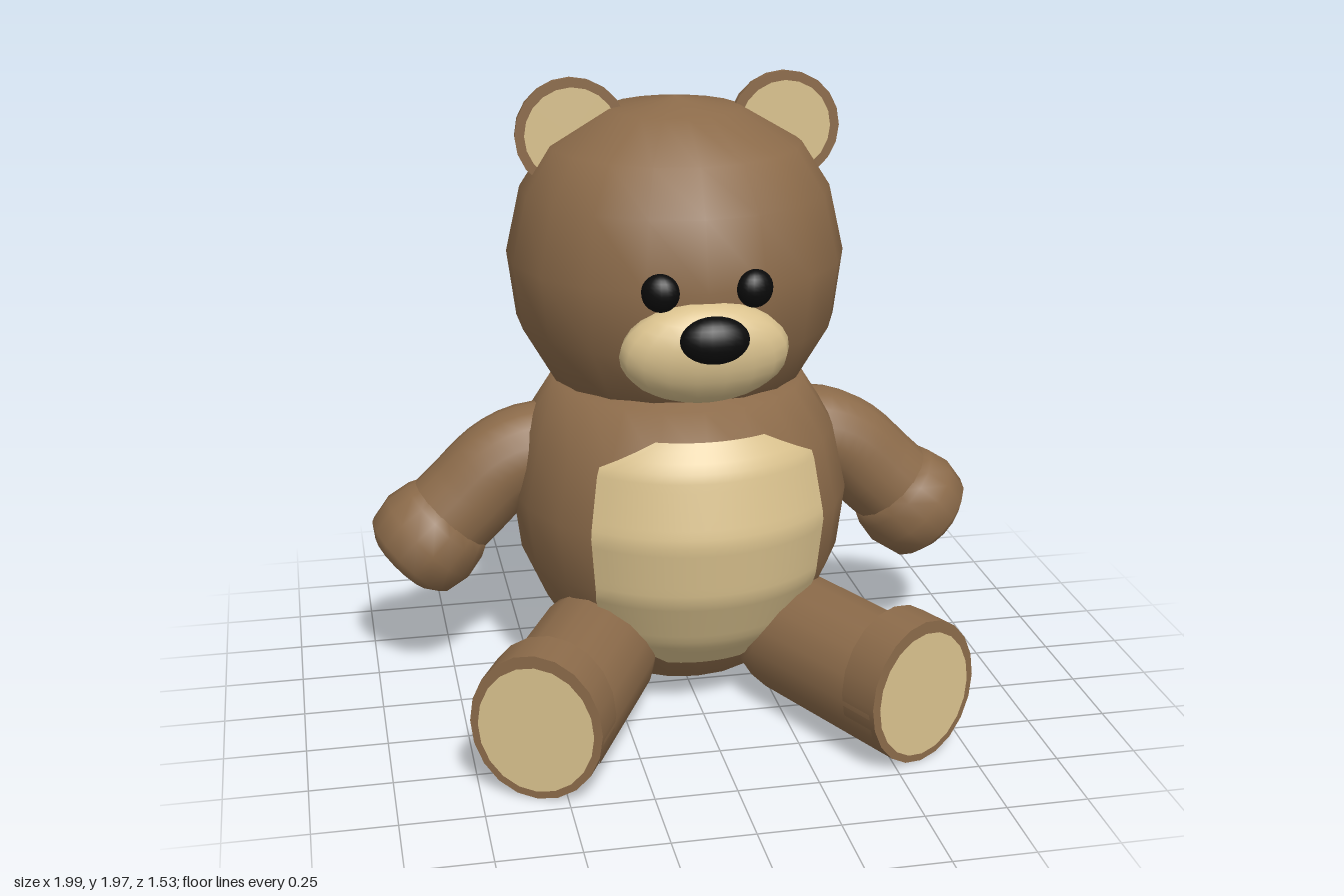
import * as THREE from 'three';

const mat = (color, side = THREE.FrontSide) => new THREE.MeshStandardMaterial({ color, side });
const V = (x, y, z) => new THREE.Vector3(x, y, z);

// Linear interpolation in a list of [value, y] pairs with rising y
function lookup(table, y) {
  for (let i = 1; i < table.length; i++) {
    const [a, ya] = table[i - 1], [b, yb] = table[i];
    if (y <= yb) return a + (b - a) * Math.max(0, (y - ya) / (yb - ya));
  }
  return table[table.length - 1][0];
}

export function createModel() {
  const bear = new THREE.Group();
  bear.name = 'teddyBear';
  const brown = mat(0x8c6b4a), beige = mat(0xdac28e, THREE.DoubleSide), black = mat(0x0a0a0a);

  const add = (name, geometry, material, parent = bear) => {
    const mesh = new THREE.Mesh(geometry, material);
    mesh.name = name;
    parent.add(mesh);
    return mesh;
  };
  const lathe = (points, segments = 16) =>
    new THREE.LatheGeometry(points.map(([r, y]) => new THREE.Vector2(r, y)), segments);
  const ellipsoid = (name, material, pos, radii) => {
    const mesh = add(name, new THREE.SphereGeometry(1, 18, 14), material);
    mesh.position.set(...pos);
    mesh.scale.set(...radii);
    return mesh;
  };

  // Body, with a flat underside
  const bodyProfile = [[0.29, 0.08], [0.44, 0.27], [0.52, 0.45], [0.545, 0.65], [0.5, 0.86], [0.4, 1.02]];
  const bodyZ = -0.175, bodyDepth = 1.08;
  const body = add('body', lathe([...bodyProfile, [0, 1.1]], 20), brown);
  body.position.z = bodyZ;
  body.scale.z = bodyDepth;
  const base = add('bodyBase', new THREE.CircleGeometry(0.29, 20), brown);
  base.rotation.x = Math.PI / 2;
  base.position.set(0, 0.08, bodyZ);
  base.scale.y = bodyDepth;

  // Belly patch wrapped onto the front of the body
  const patchWidth = [[0.12, 0.17], [0.26, 0.26], [0.35, 0.4], [0.37, 0.65], [0.34, 0.86], [0.17, 0.945]];
  const patch = new THREE.PlaneGeometry(2, 1, 18, 28);
  const p = patch.attributes.position;
  for (let i = 0; i < p.count; i++) {
    const y = 0.17 + (p.getY(i) + 0.5) * 0.775;
    const x = p.getX(i) * lookup(patchWidth, y) + 0.012;
    const r = lookup(bodyProfile, y);
    p.setXYZ(i, x, y, bodyZ + bodyDepth * Math.sqrt(r * r - x * x) + 0.008);
  }
  patch.computeVertexNormals();
  add('bellyPatch', patch, beige);

  // Tail
  ellipsoid('tail', brown, [-0.17, 0.16, -0.615], [0.125, 0.125, 0.125]);

  // Head
  const head = add('head', lathe([[0, 0.9], [0.2, 0.92], [0.4, 1.01], [0.51, 1.2], [0.537, 1.41],
    [0.49, 1.62], [0.4, 1.76], [0.21, 1.87], [0, 1.905]], 18), brown);
  head.position.z = -0.22;

  // Face
  ellipsoid('muzzle', beige, [-0.005, 1.22, 0.275], [0.26, 0.163, 0.125]).rotation.x = 0.25;
  ellipsoid('nose', black, [0, 1.292, 0.4], [0.105, 0.071, 0.055]).rotation.x = -0.2;

  for (const side of [1, -1]) {
    const label = side > 0 ? 'left' : 'right';

    const eye = ellipsoid(label + 'Eye', black, [side * 0.143, 1.415, 0.298], [0.058, 0.058, 0.045]);
    eye.rotation.y = side * 0.35;

    // Ear: half ball with a flat front
    const ear = new THREE.Group();
    ear.name = label + 'Ear';
    ear.position.set(side * 0.34 + 0.015, 1.793, -0.22);
    bear.add(ear);
    const shell = add('earShell', new THREE.SphereGeometry(0.178, 20, 8, 0, Math.PI * 2, 0, Math.PI / 2), brown, ear);
    shell.rotation.x = -Math.PI / 2;
    add('earRim', new THREE.CircleGeometry(0.178, 20), brown, ear);
    add('innerEar', new THREE.CircleGeometry(0.148, 20), beige, ear).position.z = 0.004;

    // Arm: bent tube, then a thicker hand with a flat end
    const path = new THREE.CatmullRomCurve3([V(0.3, 0.76, 0), V(0.48, 0.76, 0), V(0.58, 0.715, 0),
      V(0.69, 0.61, 0), V(0.8, 0.505, 0)].map(v => V(v.x * side, v.y, -0.235)));
    add(label + 'Arm', new THREE.TubeGeometry(path, 16, 0.155, 16), brown);
    const hand = add(label + 'Hand', lathe([[0, -0.27], [0.145, -0.25], [0.17, -0.2], [0.186, -0.12],
      [0.17, -0.035], [0.123, 0], [0.123, 0], [0, 0]]), brown);
    hand.position.set(side * 0.905, 0.4, -0.235);
    hand.quaternion.setFromUnitVectors(V(0, 1, 0), V(side * 0.72, -0.69, 0).normalize());

    // Leg: points outward and forward, rounded at the hip
    const leg = new THREE.Group();
    leg.name = label + 'Leg';
    leg.position.set(side * 0.588, 0, 0.678);
    leg.rotation.y = side * Math.atan2(0.43, 0.9);
    bear.add(leg);
    const limb = add('limb', lathe([[0, -0.8], [0.08, -0.79], [0.15, -0.74], [0.19, -0.66], [0.2, -0.58],
      [0.2, -0.02]]), brown, leg);
    limb.rotation.x = Math.PI / 2;
    limb.position.y = 0.203;

    // Foot: taller oval block with a sole pad
    const foot = add('foot', new THREE.CylinderGeometry(1, 1, 0.14, 20), brown, leg);
    foot.rotation.x = Math.PI / 2;
    foot.scale.set(0.203, 1, 0.231);
    foot.position.set(0, 0.231, -0.07);
    const pad = add('solePad', new THREE.CircleGeometry(1, 20), beige, leg);
    pad.scale.set(0.178, 0.2, 1);
    pad.position.set(0, 0.225, 0.004);
  }
  return bear;
}
